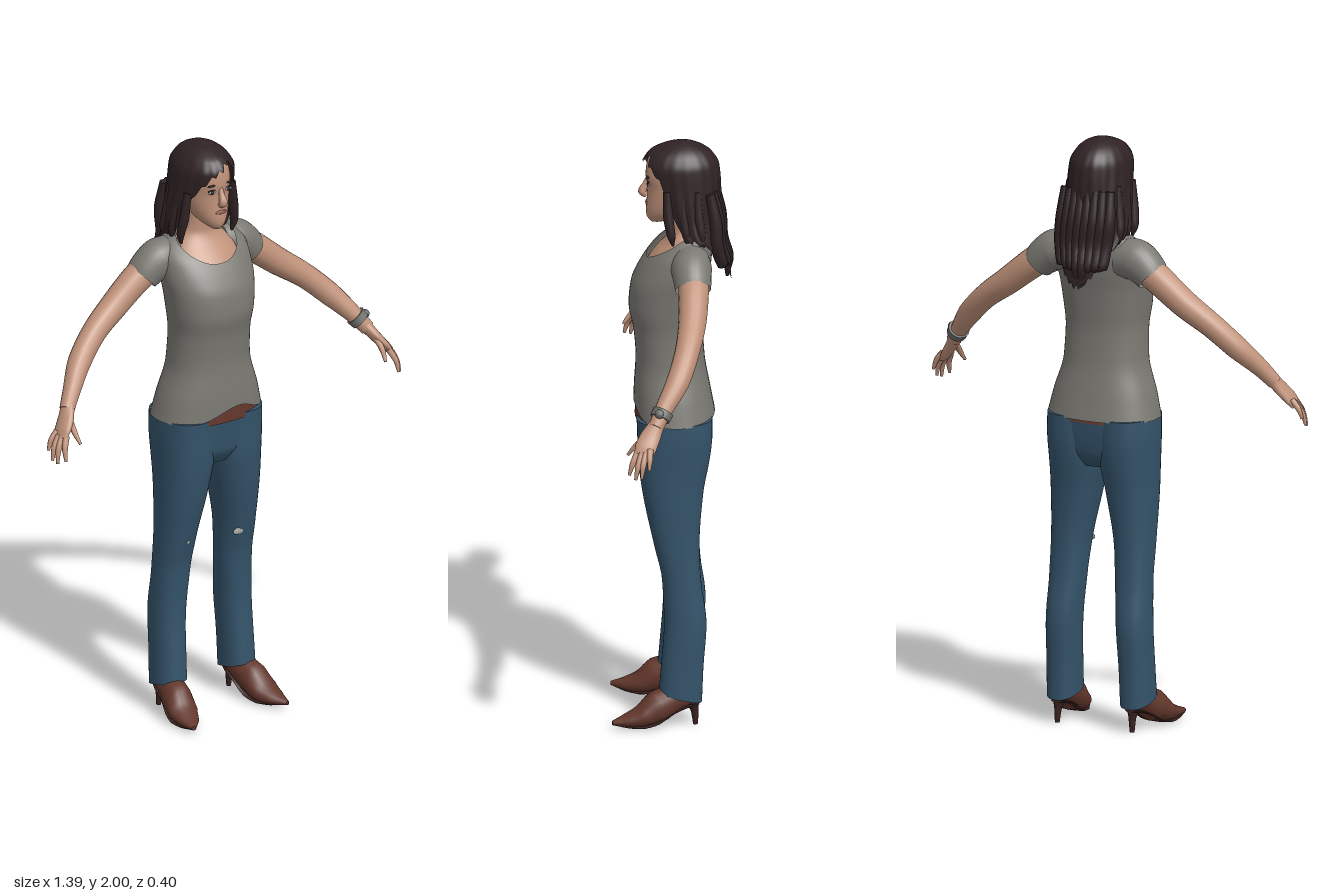
import * as THREE from 'three';

const mat = (name, color) => {
  const m = new THREE.MeshStandardMaterial({ color, side: THREE.DoubleSide });
  m.name = name;
  return m;
};

// Closed rings of points joined into a smooth skin, with optional end caps
function skin(rings, capStart = true, capEnd = true) {
  const pos = [], idx = [], n = rings[0].length;
  rings.forEach(r => r.forEach(p => pos.push(p.x, p.y, p.z)));
  for (let j = 0; j < rings.length - 1; j++)
    for (let i = 0; i < n; i++) {
      const a = j * n + i, b = j * n + (i + 1) % n;
      idx.push(a, a + n, b, b, a + n, b + n);
    }
  const cap = (ring, flip) => {
    const base = pos.length / 3, c = new THREE.Vector3();
    ring.forEach(p => { pos.push(p.x, p.y, p.z); c.addScaledVector(p, 1 / n); });
    pos.push(c.x, c.y, c.z);
    for (let i = 0; i < n; i++) {
      const a = base + i, b = base + (i + 1) % n;
      idx.push(base + n, flip ? b : a, flip ? a : b);
    }
  };
  if (capStart) cap(rings[0], false);
  if (capEnd) cap(rings[rings.length - 1], true);
  const g = new THREE.BufferGeometry();
  g.setAttribute('position', new THREE.Float32BufferAttribute(pos, 3));
  g.setIndex(idx);
  g.computeVertexNormals();
  return g;
}

// Monotone cubic lookup in rows sorted by their first entry
function sample(rows, y) {
  let k = 0;
  while (k < rows.length - 2 && y > rows[k + 1][0]) k++;
  const h = rows[k + 1][0] - rows[k][0];
  const t = THREE.MathUtils.clamp((y - rows[k][0]) / h, 0, 1);
  const slope = (i, c) => (rows[i + 1][c] - rows[i][c]) / (rows[i + 1][0] - rows[i][0]);
  const tangent = (i, c) => {
    if (i === 0) return slope(0, c);
    if (i === rows.length - 1) return slope(i - 1, c);
    const a = slope(i - 1, c), b = slope(i, c);
    return a * b <= 0 ? 0 : 2 * a * b / (a + b);
  };
  return rows[k].map((v, c) => c === 0 ? y :
    v * (1 + 2 * t) * (1 - t) ** 2 + rows[k + 1][c] * t * t * (3 - 2 * t)
    + h * (tangent(k, c) * t * (1 - t) ** 2 + tangent(k + 1, c) * t * t * (t - 1)));
}

// Upright body: rows are [y, centre x, half width, front z, back z];
// bottom and top edges are functions of the angle (90 degrees is the front)
function body(rows, { bottom = () => rows[0][0], top = () => rows[rows.length - 1][0],
  seg = 40, n = 28, e = 2, s = 1, caps = [true, true], ripple = () => 1 } = {}) {
  const pw = v => Math.sign(v) * Math.abs(v) ** (2 / e), rings = [];
  for (let j = 0; j <= n; j++) {
    const ring = [];
    for (let i = 0; i < seg; i++) {
      const a = i / seg * Math.PI * 2;
      const y = THREE.MathUtils.lerp(bottom(a), top(a), j / n);
      const [, cx, rx, zf, zb] = sample(rows, y), k = ripple(a, y);
      ring.push(new THREE.Vector3(s * cx + rx * k * pw(Math.cos(a)), y,
        (zf + zb) / 2 + (zf - zb) / 2 * k * pw(Math.sin(a))));
    }
    rings.push(ring);
  }
  return skin(rings, ...caps);
}

// Limb along a path: points are [x, y, z, half width towards hint, half depth]
function limb(pts, { s = 1, seg = 16, n = 20, hint = [0, 0, 1], caps = [true, true] } = {}) {
  const curve = new THREE.CatmullRomCurve3(pts.map(p => new THREE.Vector3(p[0] * s, p[1], p[2])));
  const rings = [];
  for (let j = 0; j <= n; j++) {
    const t = j / n, f = t * (pts.length - 1), k = Math.min(Math.floor(f), pts.length - 2);
    const mix = c => THREE.MathUtils.lerp(pts[k][c], pts[k + 1][c], f - k);
    const c = curve.getPoint(t), d = curve.getTangent(t), u = new THREE.Vector3(...hint);
    u.addScaledVector(d, -u.dot(d)).normalize();
    const v = u.clone().cross(d), ru = mix(3), rv = pts[0].length > 4 ? mix(4) : ru;
    rings.push(Array.from({ length: seg }, (_, i) => {
      const a = i / seg * Math.PI * 2;
      return c.clone().addScaledVector(u, ru * Math.cos(a)).addScaledVector(v, rv * Math.sin(a));
    }));
  }
  return skin(rings, ...caps);
}

export function createModel() {
  const model = new THREE.Group();
  model.name = 'woman';
  const skinTone = mat('skin', 0xc0927a), hairMat = mat('hair', 0x2f2224), shirtMat = mat('shirt', 0x7b7973);
  const denim = mat('denim', 0x34536a), leather = mat('leather', 0x63372c), sole = mat('sole', 0x38211f);
  const metal = mat('metal', 0x6d6f6c), pale = mat('pale', 0xa3a8a6), lip = mat('lip', 0x96604f);
  const add = (name, geo, m, x = 0, y = 0, z = 0) => {
    const mesh = new THREE.Mesh(geo, m);
    mesh.name = name;
    mesh.position.set(x, y, z);
    model.add(mesh);
    return mesh;
  };
  const spot = (name, m, x, y, z, w, h, d = 0.004) =>
    add(name, new THREE.SphereGeometry(1, 14, 8).scale(w, h, d), m, x, y, z);

  // Shirt with scooped collar and a hem lifted over the belt
  add('shirt', body([
    [1.05, 0, 0.195, 0.13, -0.14], [1.13, 0, 0.176, 0.128, -0.125], [1.25, 0, 0.142, 0.122, -0.105],
    [1.35, 0, 0.138, 0.13, -0.10], [1.43, 0, 0.147, 0.145, -0.107], [1.50, 0, 0.155, 0.138, -0.115],
    [1.56, 0, 0.162, 0.112, -0.125], [1.62, 0, 0.162, 0.07, -0.13], [1.66, 0, 0.14, 0.025, -0.125],
    [1.685, 0, 0.10, 0, -0.115]], {
    bottom: a => 1.055 + (Math.sin(a) > 0 ? 0.042 * Math.exp(-(((0.19 * Math.cos(a) - 0.035) / 0.08) ** 2)) : 0),
    top: a => 1.685 - 0.085 * Math.max(0, Math.sin(a)) ** 3,
    e: 2.3, seg: 56, n: 40, caps: [false, false] }), shirtMat);
  add('neckAndChest', body([
    [1.52, 0, 0.12, 0.115, -0.10], [1.58, 0, 0.125, 0.085, -0.11], [1.62, 0, 0.118, 0.055, -0.11],
    [1.66, 0, 0.09, 0.02, -0.10], [1.69, 0, 0.06, 0.008, -0.085], [1.74, 0, 0.053, 0.01, -0.08],
    [1.80, 0, 0.052, 0.02, -0.08]]), skinTone);

  // Hips and belt
  add('hips', body([
    [0.89, 0, 0.08, 0.08, -0.09], [0.94, 0, 0.178, 0.107, -0.115],
    [1.0, 0, 0.188, 0.114, -0.125], [1.06, 0, 0.187, 0.12, -0.13]], { e: 2.4 }), denim);
  add('belt', body([[1.045, 0, 0.188, 0.125, -0.132], [1.10, 0, 0.172, 0.122, -0.12]],
    { e: 2.3, n: 3 }), leather);

  for (const s of [1, -1]) {
    const side = s > 0 ? 'left' : 'right';
    // Trouser leg
    add(side + 'Leg', body([
      [0.08, 0.137, 0.054, 0.05, -0.095], [0.2, 0.135, 0.054, 0.04, -0.10], [0.35, 0.131, 0.056, 0.03, -0.11],
      [0.5, 0.123, 0.06, 0.036, -0.092], [0.62, 0.118, 0.064, 0.062, -0.087], [0.8, 0.103, 0.081, 0.10, -0.10],
      [0.92, 0.094, 0.092, 0.115, -0.122], [1.0, 0.094, 0.095, 0.117, -0.13], [1.06, 0.094, 0.093, 0.12, -0.13]],
      { s, e: 2.3, bottom: a => 0.10 + 0.02 * Math.sin(a), caps: [false, true] }), denim);

    // Pointed shoe: z, centre x, sole y, top y, half width
    const shoe = [[-0.085, 0.138, 0.07, 0.11, 0.022], [-0.05, 0.139, 0.063, 0.14, 0.038],
      [0, 0.143, 0.042, 0.14, 0.043], [0.05, 0.152, 0.012, 0.122, 0.05], [0.1, 0.162, 0.002, 0.075, 0.052],
      [0.15, 0.173, 0.004, 0.048, 0.036], [0.2, 0.187, 0.014, 0.028, 0.008]];
    add(side + 'Shoe', limb(shoe.map(([z, x, b, t, w]) => [x, (b + t) / 2, z, w, (t - b) / 2]),
      { s, hint: [1, 0, 0], n: 24 }), leather);
    add(side + 'Sole', limb(shoe.map(([z, x, b, , w]) => [x, b + 0.005, z, w * 0.85, 0.005]),
      { s, hint: [1, 0, 0], n: 18 }), sole);
    add(side + 'Heel', limb([[0.138, 0.085, -0.06, 0.026], [0.139, 0.05, -0.07, 0.013], [0.14, 0, -0.074, 0.008]],
      { s, seg: 10, n: 8 }), sole);

    // Sleeve and arm
    add(side + 'Sleeve', limb([[0.09, 1.605, -0.06, 0.062, 0.068], [0.15, 1.602, -0.06, 0.068, 0.07],
      [0.19, 1.577, -0.063, 0.063, 0.063], [0.214, 1.553, -0.065, 0.059, 0.056]],
      { s, seg: 24, caps: [true, false] }), shirtMat);
    add(side + 'Arm', limb([[0.16, 1.60, -0.064, 0.052], [0.24, 1.545, -0.066, 0.05], [0.33, 1.475, -0.06, 0.046],
      [0.42, 1.41, -0.042, 0.041], [0.5, 1.335, -0.01, 0.039], [0.56, 1.267, 0.034, 0.03],
      [0.60, 1.215, 0.063, 0.025]], { s, n: 30 }), skinTone);

    // Hand with spread fingers
    add(side + 'Palm', limb([[0.59, 1.23, 0.055, 0.024, 0.021], [0.617, 1.19, 0.08, 0.034, 0.018],
      [0.64, 1.16, 0.096, 0.036, 0.015], [0.655, 1.138, 0.105, 0.03, 0.01]], { s }), skinTone);
    const fingers = [
      ['Index', [0.643, 1.15, 0.122], [0.661, 1.11, 0.14], [0.664, 1.073, 0.151]],
      ['Middle', [0.652, 1.146, 0.109], [0.675, 1.105, 0.122], [0.683, 1.063, 0.13]],
      ['Ring', [0.655, 1.148, 0.096], [0.68, 1.11, 0.105], [0.69, 1.07, 0.11]],
      ['Little', [0.653, 1.158, 0.082], [0.677, 1.13, 0.083], [0.69, 1.097, 0.085]],
      ['Thumb', [0.608, 1.198, 0.085], [0.614, 1.158, 0.128], [0.609, 1.124, 0.155]]];
    for (const [name, a, b, c] of fingers)
      add(side + name + 'Finger', limb([[...a, 0.011], [...b, 0.0095], [...c, 0.005]], { s, seg: 8, n: 8 }), skinTone);

    // Eye and brow
    spot(side + 'Eye', pale, s * 0.033, 1.858, 0.08, 0.014, 0.006);
    spot(side + 'Pupil', hairMat, s * 0.033, 1.858, 0.083, 0.006, 0.006, 0.003);
    spot(side + 'Lashes', hairMat, s * 0.034, 1.865, 0.081, 0.016, 0.0025);
    spot(side + 'Brow', hairMat, s * 0.035, 1.882, 0.082, 0.018, 0.003);
  }

  // Wristwatch on the left arm
  add('watchBand', limb([[0.568, 1.259, 0.038, 0.036], [0.583, 1.24, 0.049, 0.034]], { n: 3 }), metal);
  spot('watchFace', metal, 0.598, 1.262, 0.05, 0.016, 0.016, 0.016);

  // Worn patches on the knees
  spot('leftKneeTear', pale, 0.09, 0.61, 0.056, 0.022, 0.012);
  spot('rightKneeTear', pale, -0.115, 0.62, 0.061, 0.005, 0.009);

  // Head
  add('head', body([
    [1.718, 0, 0.014, 0.072, 0.03], [1.735, 0, 0.036, 0.085, -0.02], [1.76, 0, 0.054, 0.088, -0.06],
    [1.80, 0, 0.068, 0.085, -0.09], [1.84, 0, 0.075, 0.083, -0.11], [1.88, 0, 0.078, 0.089, -0.12],
    [1.93, 0, 0.07, 0.083, -0.115], [1.97, 0, 0.04, 0.045, -0.09]]), skinTone);
  add('nose', limb([[0, 1.872, 0.08, 0.007], [0, 1.845, 0.09, 0.01], [0, 1.822, 0.099, 0.015],
    [0, 1.808, 0.086, 0.011]], { hint: [1, 0, 0], seg: 12, n: 12 }), skinTone);
  spot('mouth', lip, 0, 1.783, 0.086, 0.022, 0.007);

  // Hair shell: its lower edge traces the side-swept hairline and the long back
  const edge = [[0, 1.68], [20, 1.69], [28, 1.76], [36, 1.88], [55, 1.925], [72, 1.952], [90, 1.935], [110, 1.915],
    [128, 1.875], [142, 1.83], [150, 1.74], [160, 1.69], [180, 1.67], [205, 1.64], [230, 1.56], [270, 1.52],
    [310, 1.56], [335, 1.65], [360, 1.68]];
  add('hair', body([
    [1.50, 0.005, 0.065, -0.13, -0.195], [1.60, 0.005, 0.09, -0.10, -0.185], [1.68, 0.004, 0.117, 0.01, -0.168],
    [1.75, 0, 0.112, 0.05, -0.16], [1.85, 0, 0.104, 0.085, -0.158], [1.92, 0, 0.098, 0.10, -0.152],
    [1.96, 0, 0.078, 0.078, -0.128], [1.985, 0, 0.048, 0.03, -0.09], [2.0, 0, 0.008, -0.025, -0.04]], {
    bottom: a => sample(edge, a * 180 / Math.PI)[1] + 0.008 * Math.sin(a * 23),
    ripple: (a, y) => 1 + 0.02 * Math.sin(a * 18 + y * 9) * Math.min(1, (2 - y) * 5),
    seg: 120, n: 40, caps: [false, true] }), hairMat);

  // Loose wavy locks down the back and beside the neck
  for (let i = 0; i < 8; i++) {
    const x = -0.085 + i * 0.024, tip = 1.505 + 0.1 * Math.abs(x) / 0.085 + 0.012 * (i % 3);
    const z = -0.15 + 2.5 * x * x;
    add('backLock' + i, limb([[x, 1.84, z + 0.01, 0.015], [x * 1.05, 1.74, z - 0.008, 0.021],
      [x + 0.006, 1.66, z - 0.012, 0.022], [x * 0.85, 1.59, z - 0.032, 0.02], [x * 0.75 + 0.004, tip, z - 0.03, 0.005]],
      { seg: 10, n: 18 }), hairMat);
  }
  for (const s of [1, -1])
    for (const [i, z] of [[0, 0.02], [1, -0.03], [2, -0.08]])
      add('sideLock', limb([[0.088, 1.85, z, 0.013], [0.098, 1.76, z - 0.005, 0.017],
        [0.106, 1.70, z - 0.015, 0.014], [0.10, 1.665 - i * 0.008, z - 0.02, 0.004]], { s, seg: 10, n: 14 }), hairMat);

  return model;
}
